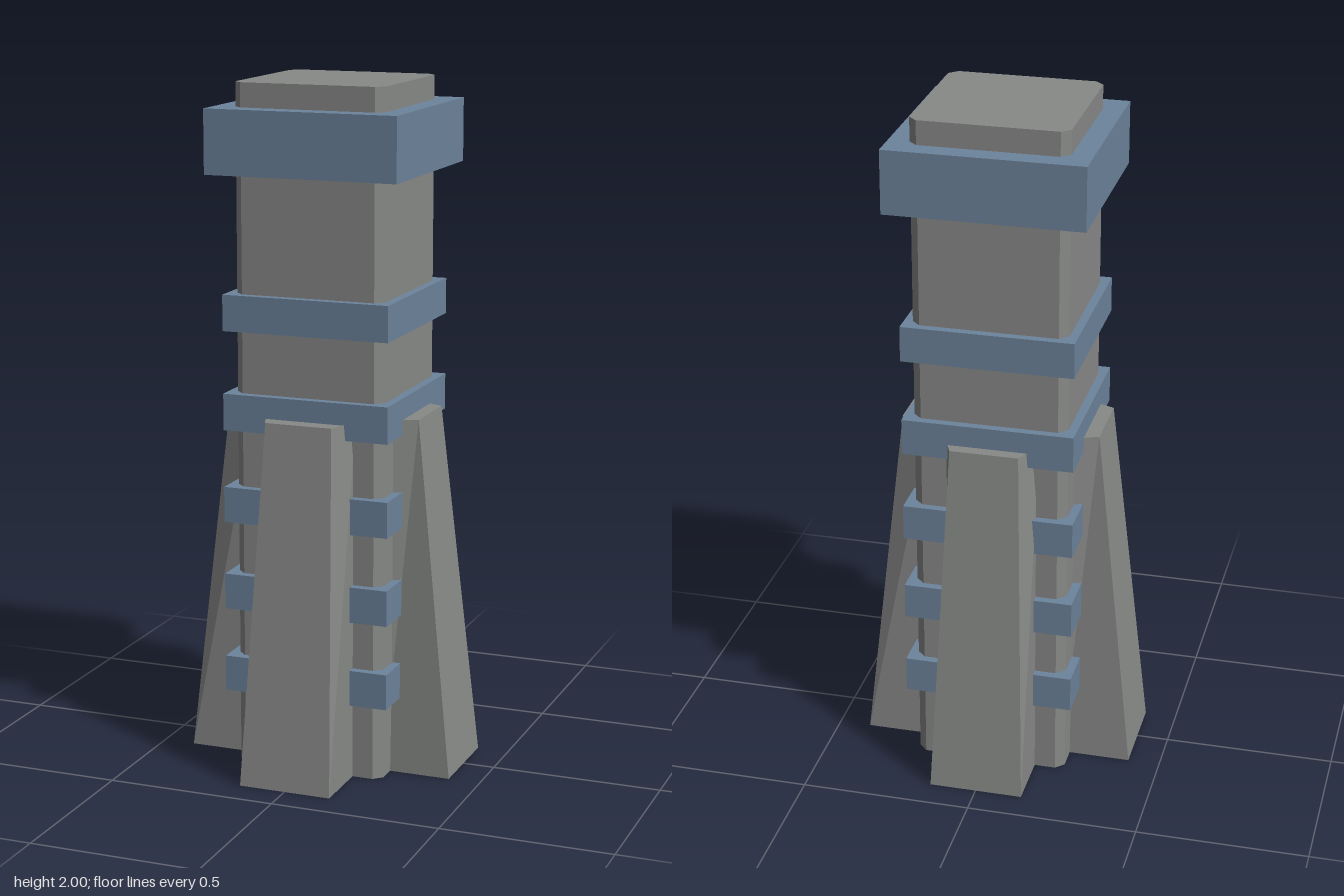
import * as THREE from 'three';

const stone = new THREE.MeshStandardMaterial({ color: 0x888a88, side: THREE.DoubleSide });
stone.name = 'grey stone';
const trim = new THREE.MeshStandardMaterial({ color: 0x6d849c });
trim.name = 'blue trim';

// Flat-sided hollow shell between two [x, z] outlines, capped on top, open below.
function shell(bottom, top, height) {
  const pos = [];
  const low = bottom.map(([x, z]) => [x, 0, z]);
  const high = top.map(([x, z]) => [x, height, z]);
  const n = low.length;
  for (let i = 0; i < n; i++) {
    const j = (i + 1) % n;
    pos.push(...low[i], ...low[j], ...high[j], ...low[i], ...high[j], ...high[i]);
    if (i > 0 && i < n - 1) pos.push(...high[0], ...high[i], ...high[i + 1]);
  }
  const geo = new THREE.BufferGeometry();
  geo.setAttribute('position', new THREE.Float32BufferAttribute(pos, 3));
  geo.computeVertexNormals();
  return geo;
}

export function createModel() {
  const model = new THREE.Group();
  model.name = 'tower';
  const add = (name, geo, mat, x, y, z) => {
    const mesh = new THREE.Mesh(geo, mat);
    mesh.name = name;
    mesh.position.set(x, y, z);
    model.add(mesh);
    return mesh;
  };
  const axisZ = -0.008;

  // Square shaft with chamfered corners
  const r = 0.225, c = 0.2;
  const outline = [[-c, r], [c, r], [r, c], [r, -c], [c, -r], [-c, -r], [-r, -c], [-r, c]];
  add('shaft', shell(outline, outline, 2), stone, 0, 0, axisZ);

  // Bands: [bottom, top, half width], the last being the wide collar
  const bands = [
    [0.225, 0.33, 0.25], [0.475, 0.58, 0.25], [0.735, 0.84, 0.25],
    [1.008, 1.115, 0.25], [1.297, 1.402, 0.25], [1.745, 1.93, 0.286],
  ];
  bands.forEach(([y0, y1, half], i) => {
    const name = i === bands.length - 1 ? 'collar' : 'band' + (i + 1);
    add(name, new THREE.BoxGeometry(half * 2, y1 - y0, half * 2), trim, 0, (y0 + y1) / 2, axisZ);
  });

  // Four tapering buttresses, one per side
  const foot = [[-0.138, 0.406], [0.138, 0.406], [0.138, 0.2], [-0.138, 0.2]];
  const head = [[-0.1, 0.292], [0.1, 0.292], [0.138, 0.2], [-0.138, 0.2]];
  const buttress = shell(foot, head, 1.052);
  ['front', 'left', 'back', 'right'].forEach((side, i) => {
    add(side + 'Buttress', buttress, stone, 0, 0, -0.002).rotation.y = (i * Math.PI) / 2;
  });

  return model;
}
